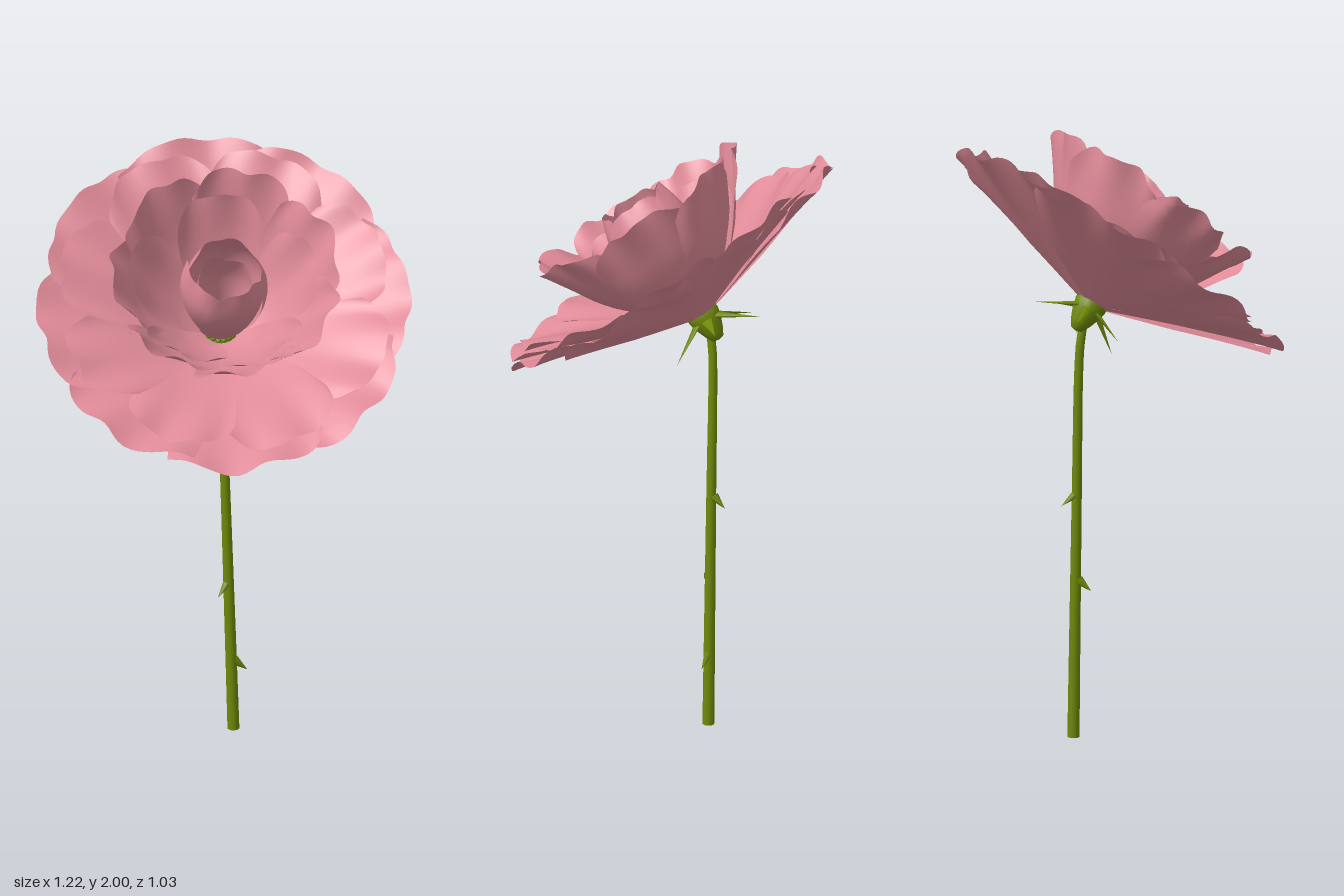
import * as THREE from 'three';

const pink = new THREE.MeshStandardMaterial({ color: 0xe08b98, side: THREE.DoubleSide });
pink.name = 'petal pink';
const green = new THREE.MeshStandardMaterial({ color: 0x6f8a08, side: THREE.DoubleSide });
green.name = 'stem green';

const BASE = new THREE.Vector3(0, 1.43, -0.11); // where the petals meet
const TILT = 0.61;                              // bloom leans towards the front

function add(parent, name, geometry, material) {
  const mesh = new THREE.Mesh(geometry, material);
  mesh.name = name;
  parent.add(mesh);
  return mesh;
}

// A petal sweeps a (radius, height) profile over a sector, with a rounded, frilled edge
function petalGeometry(profile, angle, half, o, seed) {
  const nu = 24, nv = 16, pos = [], index = [];
  for (let j = 0; j <= nv; j++) {
    for (let i = 0; i <= nu; i++) {
      const s = j / nv, t = (i / nu) * 2 - 1;
      const a = angle + t * half * (0.85 + 0.15 * Math.sin(s * Math.PI));
      const frill = Math.sin(t * 7 + seed * 2.3) * 0.6 + Math.sin(t * 13 + seed * 4.1) * 0.4;
      // petals at the sides are a little shorter than those at the front and back
      const reach = 1 - o.round * Math.pow(Math.abs(t), 3) - o.frill * (0.7 + 0.7 * frill)
        - o.vary * (0.5 + 0.5 * Math.sin(seed * 5.7)) - 0.035 * Math.sin(a) ** 2;
      const q = s * reach;
      const p = profile.getPoint(q), d = profile.getTangent(q);
      // spiral overlap plus ripples growing towards the edge, along the surface normal
      const off = o.lift * t * Math.min(1, s * 2)
        + o.ripple * Math.pow(s, 5) * Math.sin(t * 7 + seed * 3.1);
      const r = Math.max(0.004, p.x - d.y * off), y = p.y + d.x * off;
      pos.push(Math.sin(a) * r, y, Math.cos(a) * r);
      if (i < nu && j < nv) {
        const k = j * (nu + 1) + i;
        index.push(k, k + 1, k + nu + 1, k + 1, k + nu + 2, k + nu + 1);
      }
    }
  }
  const g = new THREE.BufferGeometry();
  g.setAttribute('position', new THREE.Float32BufferAttribute(pos, 3));
  g.setIndex(index);
  g.computeVertexNormals();
  return g;
}

const layers = [
  { name: 'outerPetal', n: 8, start: 0.1, wide: 1.4, pts: [[0.04, 0], [0.2, 0.055], [0.42, 0.13], [0.632, 0.205]],
    round: 0.08, frill: 0.025, vary: 0.035, lift: 0.012, ripple: 0.016 },
  { name: 'secondPetal', n: 8, start: 0.4, wide: 1.25, pts: [[0.05, 0.01], [0.2, 0.07], [0.38, 0.15], [0.58, 0.225]],
    round: 0.15, frill: 0.025, vary: 0.08, lift: 0.012, ripple: 0.012 },
  { name: 'bowlPetal', n: 7, start: 0.2, wide: 1.35, pts: [[0.06, 0.05], [0.15, 0.105], [0.25, 0.21], [0.32, 0.32], [0.385, 0.43]],
    round: 0.14, frill: 0.03, vary: 0.06, lift: 0.014, ripple: 0.014 },
  { name: 'innerBowlPetal', n: 5, start: 0.63, wide: 1.1, pts: [[0.06, 0.055], [0.14, 0.115], [0.23, 0.22], [0.32, 0.37]],
    round: 0.2, frill: 0.03, vary: 0.1, lift: 0.014, ripple: 0.01 },
  // The bud is an open cup with a smaller cup inside
  { name: 'budPetal', n: 4, start: 0.5, wide: 1.5, pts: [[0.02, 0.04], [0.09, 0.14], [0.13, 0.26], [0.135, 0.35], [0.105, 0.445]],
    round: 0.12, frill: 0.015, vary: 0.06, lift: 0.008, ripple: 0.004 },
  { name: 'budHeartPetal', n: 3, start: 0, wide: 1.3, pts: [[0.02, 0.04], [0.06, 0.15], [0.09, 0.26], [0.085, 0.37]],
    round: 0.16, frill: 0.01, vary: 0.06, lift: 0.008, ripple: 0.003 },
];

function buildBloom() {
  const bloom = new THREE.Group();
  bloom.name = 'bloom';
  layers.forEach((o, li) => {
    const profile = new THREE.SplineCurve(o.pts.map(([r, y]) => new THREE.Vector2(r, y)));
    for (let i = 0; i < o.n; i++) {
      const angle = o.start + (i / o.n) * Math.PI * 2;
      add(bloom, o.name + (i + 1), petalGeometry(profile, angle, (Math.PI / o.n) * o.wide, o, li * 11 + i), pink);
    }
  });

  // Swollen receptacle under the petals
  const hip = [[0.001, -0.1], [0.02, -0.095], [0.034, -0.07], [0.048, -0.035], [0.055, -0.005], [0.052, 0.03], [0.001, 0.045]];
  add(bloom, 'receptacle', new THREE.LatheGeometry(hip.map(([x, y]) => new THREE.Vector2(x, y)), 16), green);

  // Two rings of small stamens around the bud
  [[0.07, 0.037], [0.051, 0.058]].forEach(([r, y], ring) => {
    for (let i = 0; i < 18; i++) {
      const a = ((i + ring / 2) / 18) * Math.PI * 2;
      add(bloom, 'stamen' + (ring * 18 + i + 1), new THREE.SphereGeometry(0.01, 6, 5), green)
        .position.set(Math.sin(a) * r, y + 0.004 * Math.sin(i * 2.1), Math.cos(a) * r);
    }
  });

  // Drooping pointed sepals
  for (let i = 0; i < 6; i++) {
    const arm = new THREE.Group();
    arm.name = 'sepalArm' + (i + 1);
    arm.rotation.y = (i / 6) * Math.PI * 2;
    const length = 0.145 + 0.02 * Math.sin(i * 2.4);
    const cone = new THREE.ConeGeometry(0.022, length, 6);
    cone.translate(0, length / 2, 0);
    cone.scale(1, 1, 0.35);
    const sepal = add(arm, 'sepal', cone, green);
    sepal.position.set(0, -0.02, 0.038);
    sepal.rotation.x = Math.PI / 2 + 0.45 + 0.12 * Math.cos(i * 1.7);
    bloom.add(arm);
  }
  bloom.position.copy(BASE);
  bloom.rotation.x = TILT;
  return bloom;
}

function buildStem() {
  const stem = new THREE.Group();
  stem.name = 'stem';
  const path = new THREE.CatmullRomCurve3([
    [0.048, 0, -0.15], [0.036, 0.4, -0.15], [0.022, 0.85, -0.15], [0.01, 1.2, -0.15], [0.004, 1.31, -0.146], [0, 1.38, -0.135],
  ].map((p) => new THREE.Vector3(...p)));
  const steps = 32, sides = 10;
  const tube = new THREE.TubeGeometry(path, steps, 0.02, sides);
  // Taper towards the bloom
  const p = tube.attributes.position, v = new THREE.Vector3();
  for (let i = 0; i < p.count; i++) {
    const u = Math.floor(i / (sides + 1)) / steps, c = path.getPointAt(u);
    v.fromBufferAttribute(p, i).sub(c).multiplyScalar(1 - 0.3 * u).add(c);
    p.setXYZ(i, v.x, v.y, v.z);
  }
  add(stem, 'stalk', tube, green);
  const cap = add(stem, 'stalkEnd', new THREE.CircleGeometry(0.02, sides), green);
  cap.rotation.x = Math.PI / 2;
  cap.position.set(0.048, 0.001, -0.15);

  // Thorns: height on the stalk and outward direction
  [[0.245, 1, 0.1], [0.52, -0.7, 0.7], [0.8, 0.2, -1]].forEach(([y, dx, dz], i) => {
    const dir = new THREE.Vector3(dx, 0, dz).normalize();
    const cone = new THREE.ConeGeometry(0.018, 0.055, 6);
    cone.translate(0, 0.0275, 0);
    cone.scale(1, 1, 0.7);
    const thorn = add(stem, 'thorn' + (i + 1), cone, green);
    thorn.position.set(0.048 - 0.032 * y, y, -0.15).addScaledVector(dir, 0.01);
    dir.y = -0.8;
    thorn.quaternion.setFromUnitVectors(new THREE.Vector3(0, 1, 0), dir.normalize());
  });
  return stem;
}

export function createModel() {
  const model = new THREE.Group();
  model.name = 'flower';
  model.add(buildStem(), buildBloom());
  return model;
}
